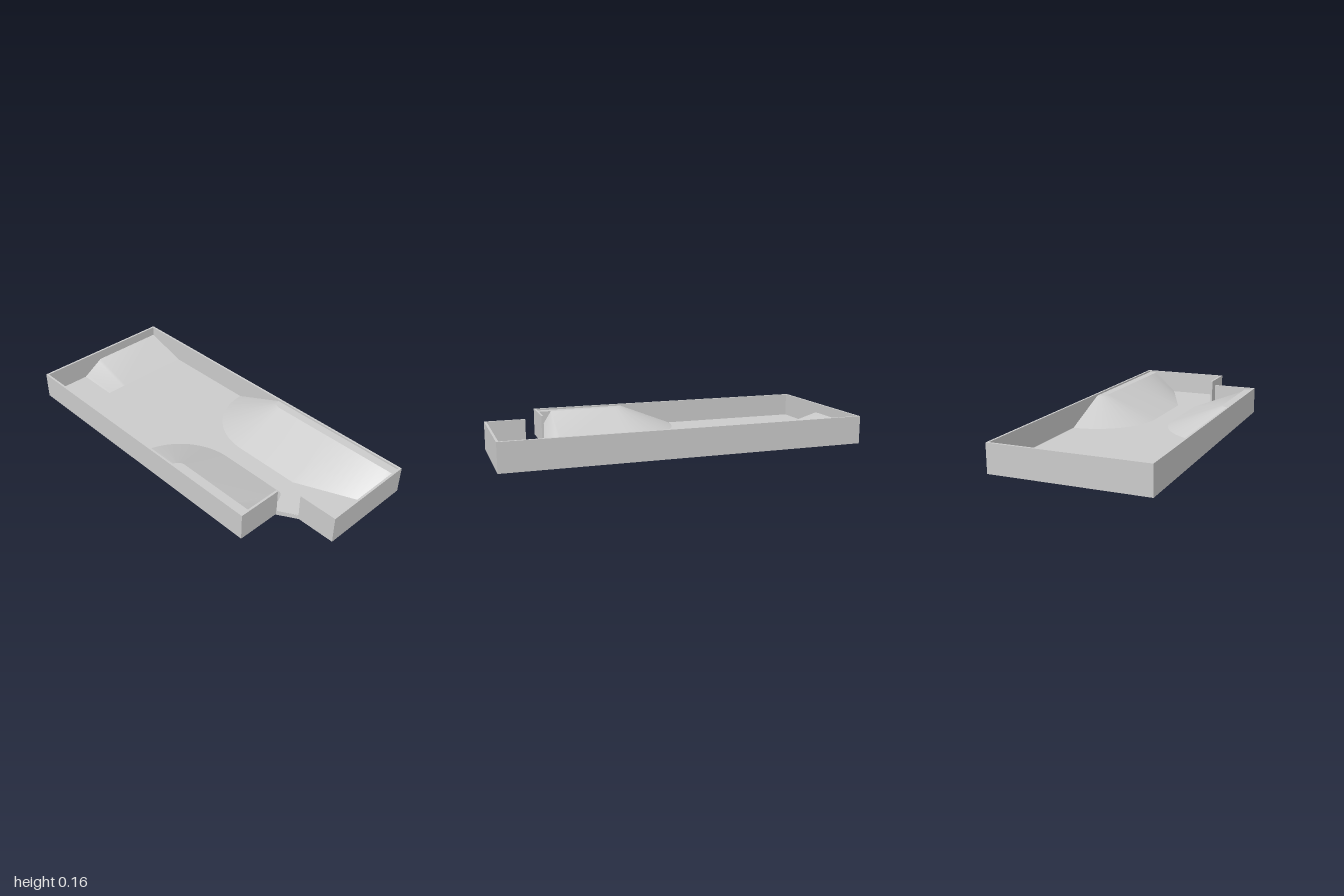
import * as THREE from 'three';
import { toCreasedNormals } from 'three/addons/utils/BufferGeometryUtils.js';

const BASE = 0.005, FLOOR = 0.025, DECK = 0.15, TOP = 0.16, T = 0.012;
const material = new THREE.MeshStandardMaterial({ color: 0xcccccc, side: THREE.DoubleSide });

export function createModel() {
  const group = new THREE.Group();
  const add = (geometry, name) => {
    const mesh = new THREE.Mesh(geometry, material);
    mesh.name = name;
    group.add(mesh);
  };

  // Flat slab from an [x, z] outline between two heights
  const slab = (outline, y0, y1, name) => {
    const shape = new THREE.Shape(outline.map(([x, z]) => new THREE.Vector2(x, -z)));
    const g = new THREE.ExtrudeGeometry(shape, { depth: y1 - y0, bevelEnabled: false });
    g.rotateX(-Math.PI / 2).translate(0, y0, 0);
    add(g, name);
  };

  // Ruled surface between two matching rows of [x, y, z] points
  const loft = (a, b, name, mirror = false) => {
    const pos = [];
    const put = ([x, y, z]) => pos.push(x, y, mirror ? -z : z);
    for (let i = 0; i < a.length - 1; i++) {
      const tris = [[a[i], b[i], a[i + 1]], [a[i + 1], b[i], b[i + 1]]];
      for (const [p, q, r] of tris) (mirror ? [p, r, q] : [p, q, r]).forEach(put);
    }
    const g = new THREE.BufferGeometry();
    g.setAttribute('position', new THREE.Float32BufferAttribute(pos, 3));
    add(toCreasedNormals(g, 0.6), name);
  };

  // Floor and the sill across the corner opening
  slab([[-1, -0.425], [1, -0.425], [1, 0.115], [0.78, 0.115], [0.68, 0.17], [0.68, 0.425], [-1, 0.425]],
    BASE, FLOOR, 'floor');
  slab([[0.78, 0.112], [0.68, 0.172], [0.668, 0.17], [0.77, 0.108]], 0, 0.027, 'doorSill');

  // Perimeter walls: x0, x1, z0, z1
  const walls = {
    backWall: [-1, 1, -0.425, -0.425 + T],
    frontWall: [-1, 0.68, 0.425 - T, 0.425],
    rightEndWall: [-1, -1 + T, -0.425 + T, 0.425 - T],
    leftEndWall: [1 - T, 1, -0.425 + T, 0.115],
    leftFrontWall: [0.68 - T, 0.68, 0.17, 0.425 - T],
    notchWall: [0.78, 1 - T, 0.115 - T, 0.115],
  };
  for (const [name, [x0, x1, z0, z1]] of Object.entries(walls)) {
    const g = new THREE.BoxGeometry(x1 - x0, TOP - FLOOR, z1 - z0);
    g.translate((x0 + x1) / 2, (TOP + FLOOR) / 2, (z0 + z1) / 2);
    add(g, name);
  }

  // Side banks: rounded cone end, straight run, then a different far end
  const wallZ = 0.413, crestZ = 0.365, endX = 0.59;
  const bank = (name, mirror, farEnd) => {
    const foot = [], crest = [];
    const N = 24;
    for (let i = 0; i <= N; i++) {
      const t = (i / N) * Math.PI / 2, c = Math.cos(t), s = Math.sin(t);
      foot.push([0.2 - 0.36 * c, FLOOR, wallZ - 0.36 * s]);
      crest.push([0.2 - 0.048 * c, DECK, wallZ - 0.048 * s]);
    }
    foot.push([endX, FLOOR, 0.053]);
    crest.push([endX, DECK, crestZ]);
    farEnd(foot, crest);
    loft(foot, crest, name + 'Slope', mirror);
    loft(crest, crest.map(([x, y]) => [x, y, wallZ]), name + 'Deck', mirror);
  };

  // Front bank falls away in a narrow elliptical cone beside the opening
  bank('frontBank', false, (foot, crest) => {
    for (let i = 1; i <= 16; i++) {
      const t = (i / 16) * Math.PI / 2;
      foot.push([endX + 0.078 * Math.sin(t), FLOOR, crestZ - 0.312 * Math.cos(t)]);
      crest.push([endX, DECK, crestZ]);
    }
    foot.push([0.668, FLOOR, crestZ]);
    crest.push([0.668, DECK, crestZ]);
  });

  // Back bank steepens toward the end wall
  bank('backBank', true, (foot, crest) => {
    for (let i = 1; i <= 10; i++) {
      const x = endX + (0.988 - endX) * i / 10;
      foot.push([x, FLOOR, 0.053 + 0.177 * i / 10]);
      crest.push([x, DECK, crestZ]);
    }
  });

  // End ramp with a twisted side blending down to the floor
  const low = [[-0.74, FLOOR, -wallZ]], high = [[-0.988, 0.105, -wallZ]];
  for (let i = 0; i <= 8; i++) {
    const z = 0.03 + 0.125 * i / 8;
    low.push([-0.74, FLOOR, z]);
    high.push([-0.988, 0.105 - (0.105 - FLOOR) * i / 8, z]);
  }
  loft(low, high, 'endRamp');

  return group;
}
